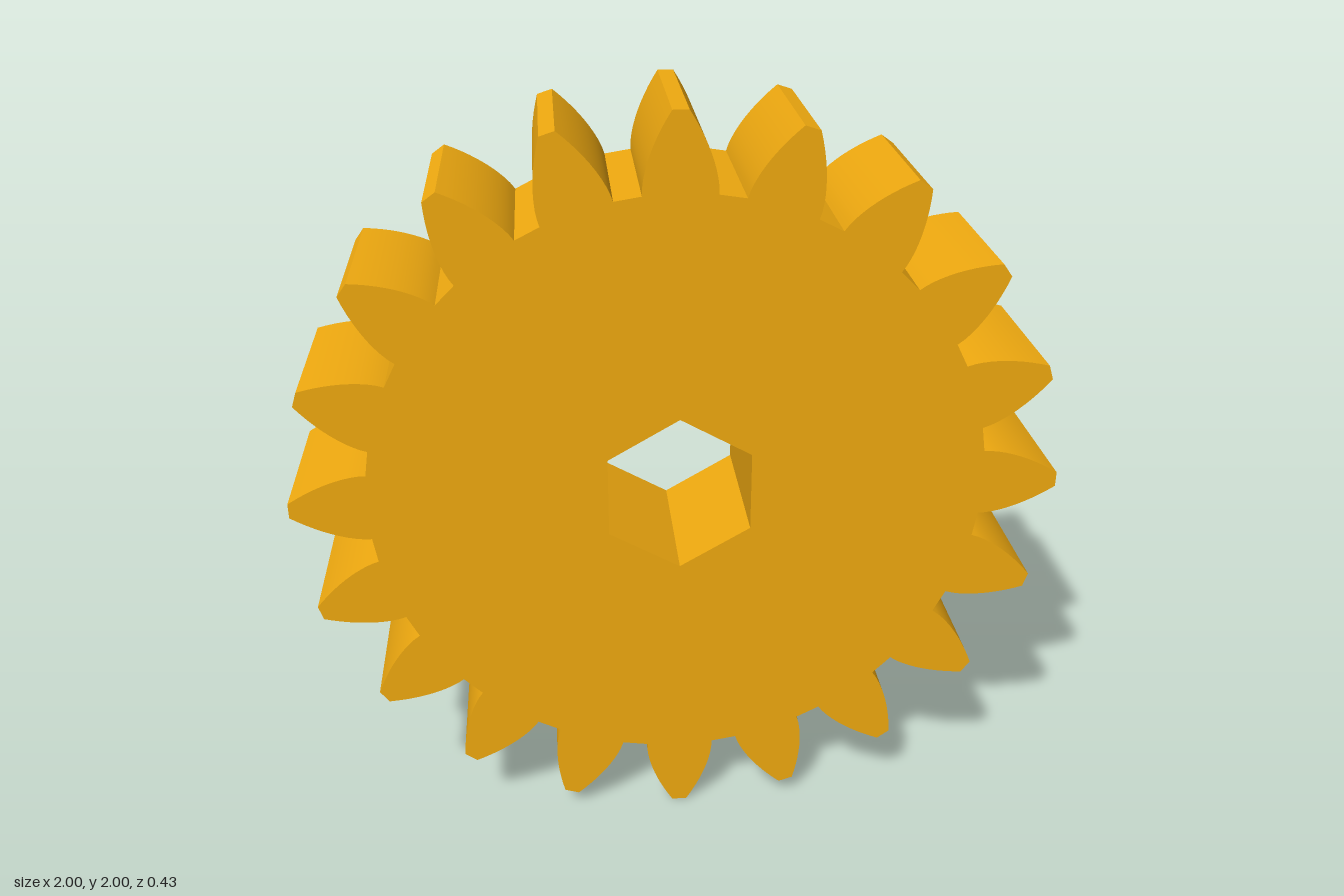
import * as THREE from 'three';
import { toCreasedNormals } from 'three/addons/utils/BufferGeometryUtils.js';

const TEETH = 20, ROOT = 0.803, TIP = 1, DEPTH = 0.43, BORE = 0.215;
const ROOT_HALF = THREE.MathUtils.degToRad(6.55); // half tooth angle at the root
const TIP_HALF = THREE.MathUtils.degToRad(1.15); // half tooth angle at the tip
const STEPS = 10;

const polar = (r, a) => new THREE.Vector2(r * Math.sin(a), r * Math.cos(a));

// Involute angle at radius r, measured from the root circle
function involute(r) {
  const a = Math.acos(Math.min(1, ROOT / r));
  return Math.tan(a) - a;
}

// Half tooth angle at radius r
const halfAngle = (r) =>
  ROOT_HALF - (ROOT_HALF - TIP_HALF) * involute(r) / involute(TIP);

export function createModel() {
  const group = new THREE.Group();
  group.name = 'spurGear';

  // Toothed outline: rising and falling curved flank for every tooth
  const outline = [];
  for (let t = 0; t < TEETH; t++) {
    const mid = (t / TEETH) * Math.PI * 2;
    for (const side of [-1, 1]) {
      for (let i = 0; i <= STEPS; i++) {
        const k = side < 0 ? i / STEPS : 1 - i / STEPS;
        const r = ROOT + (TIP - ROOT) * k;
        outline.push(polar(r, mid + side * halfAngle(r)));
      }
    }
  }
  const shape = new THREE.Shape(outline);

  // Hexagonal bore with a corner at the top
  const hex = [];
  for (let i = 0; i < 6; i++) hex.push(polar(BORE, -i * Math.PI / 3));
  shape.holes.push(new THREE.Path(hex));

  // Gear body
  const geometry = new THREE.ExtrudeGeometry(shape, { depth: DEPTH, bevelEnabled: false });
  geometry.translate(0, 1, -DEPTH / 2);
  const gear = new THREE.Mesh(
    toCreasedNormals(geometry, 0.4),
    new THREE.MeshStandardMaterial({ color: 0xf0aa10 })
  );
  gear.name = 'gearBody';
  group.add(gear);
  return group;
}
